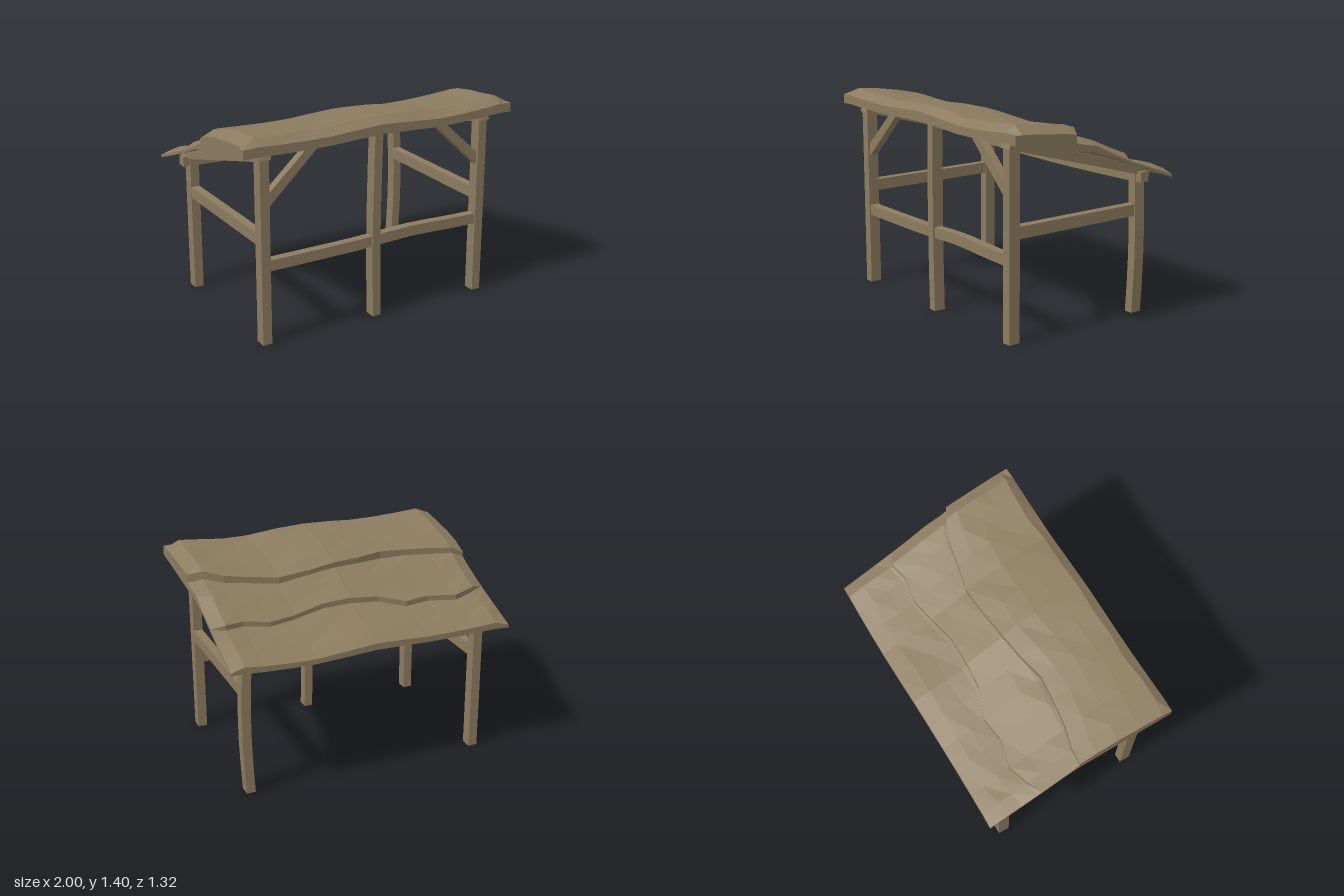
import * as THREE from 'three';

const wood = new THREE.MeshStandardMaterial({ color: 0x8c7b5f, flatShading: true });
wood.name = 'weathered wood';

// Piecewise linear lookup in a list of [position, value], positions rising
function lerpTable(table, p) {
  if (p <= table[0][0]) return table[0][1];
  for (let i = 1; i < table.length; i++) {
    const [a, va] = table[i - 1], [b, vb] = table[i];
    if (p <= b) return va + (vb - va) * (p - a) / (b - a);
  }
  return table[table.length - 1][1];
}

let seed = 7;
const jitter = (amount) => {
  seed = (seed * 16807) % 2147483647;
  return (seed / 2147483647 - 0.5) * 2 * amount;
};

function addMesh(group, name, geometry) {
  const mesh = new THREE.Mesh(geometry, wood);
  mesh.name = name;
  group.add(mesh);
  return mesh;
}

// Box timber given by its limits, optionally bent by a rule on its vertices
function timber(group, name, [x0, x1], [y0, y1], [z0, z1], bend, segs = [1, 1, 1]) {
  const g = new THREE.BoxGeometry(x1 - x0, y1 - y0, z1 - z0, ...segs);
  g.translate((x0 + x1) / 2, (y0 + y1) / 2, (z0 + z1) / 2);
  if (bend) {
    const p = g.attributes.position, v = new THREE.Vector3();
    for (let i = 0; i < p.count; i++) {
      bend(v.fromBufferAttribute(p, i));
      p.setXYZ(i, v.x, v.y, v.z);
    }
    g.computeVertexNormals();
  }
  return addMesh(group, name, g);
}

// Prism from an outline in the side plane (z, y), spanning x0..x1
function sidePrism(group, name, outline, x0, x1) {
  const shape = new THREE.Shape(outline.map(([z, y]) => new THREE.Vector2(-z, y)));
  const g = new THREE.ExtrudeGeometry(shape, { depth: x1 - x0, bevelEnabled: false });
  g.rotateY(Math.PI / 2).translate(x0, 0, 0);
  return addMesh(group, name, g);
}

// Roof columns, ragged seams and crest waviness
const columns = [-1, -0.9, -0.75, -0.55, -0.38, -0.2, 0, 0.2, 0.42, 0.6, 0.78, 0.91, 1];
const seamFront = [0, 0, 0.04, 0.07, 0.085, 0.045, 0.02, 0, -0.01, 0.03, 0.065, 0.12, 0.17];
const seamBack = [-0.275, -0.325, -0.365, -0.32, -0.34, -0.265, -0.25, -0.245, -0.285, -0.315, -0.285, -0.315, -0.275];
const wave = [0, 0.005, -0.004, -0.01, -0.01, 0, 0.008, -0.006, -0.022, -0.018, -0.008, 0.005, 0];
const underside = [[-0.66, 0.925], [-0.52, 0.975], [-0.28, 1.065], [-0.07, 1.155], [0.2, 1.205], [0.655, 1.29]];

// Warped roof board between front and back edge lines, with a top profile
function roofBoard(group, name, frontZ, backZ, profile, rows) {
  const top = [], bottom = [];
  columns.forEach((c, i) => {
    const end = i === 0 || i === columns.length - 1;
    top.push([]);
    bottom.push([]);
    rows.forEach((t, k) => {
      const edge = k === 0 || k === rows.length - 1;
      const z = frontZ[i] + (backZ[i] - frontZ[i]) * t + (edge || end ? 0 : jitter(0.015));
      const x = c * (0.975 + 0.025 * THREE.MathUtils.clamp(z / 0.65, 0, 1));
      const low = lerpTable(underside, z) + wave[i] * 0.7;
      let high = lerpTable(profile, z) + wave[i] + (edge ? 0 : jitter(0.005));
      if (end && k > 0) high -= 0.04;
      top[i].push([x, Math.max(high, low + 0.02), z]);
      bottom[i].push([x, low, z]);
    });
  });
  const pos = [];
  const quad = (a, b, c, d) => pos.push(...a, ...b, ...c, ...a, ...c, ...d);
  const n = columns.length - 1, m = rows.length - 1;
  for (let i = 0; i < n; i++) {
    for (let k = 0; k < m; k++) {
      quad(top[i][k], top[i + 1][k], top[i + 1][k + 1], top[i][k + 1]);
      quad(bottom[i][k + 1], bottom[i + 1][k + 1], bottom[i + 1][k], bottom[i][k]);
    }
    quad(bottom[i][0], bottom[i + 1][0], top[i + 1][0], top[i][0]);
    quad(bottom[i + 1][m], bottom[i][m], top[i][m], top[i + 1][m]);
  }
  for (let k = 0; k < m; k++) {
    quad(bottom[0][k + 1], bottom[0][k], top[0][k], top[0][k + 1]);
    quad(bottom[n][k], bottom[n][k + 1], top[n][k + 1], top[n][k]);
  }
  const g = new THREE.BufferGeometry();
  g.setAttribute('position', new THREE.Float32BufferAttribute(pos, 3));
  g.computeVertexNormals();
  return addMesh(group, name, g);
}

export function createModel() {
  const model = new THREE.Group();
  model.name = 'leanToShelter';

  // Posts
  const postSegs = [1, 5, 1];
  const frontPostZ = [0.51, 0.59], backPostZ = [-0.52, -0.44];
  timber(model, 'frontRightPost', [-0.857, -0.793], [0, 1.26], frontPostZ);
  timber(model, 'frontLeftPost', [0.793, 0.857], [0, 1.26], frontPostZ);
  timber(model, 'frontMiddlePost', [-0.03, 0.03], [0, 1.29], frontPostZ,
    (v) => { v.x -= 0.009 * Math.sin(v.y * 2.6); }, postSegs);
  timber(model, 'backRightPost', [-0.857, -0.793], [0, 0.96], backPostZ);
  timber(model, 'backLeftPost', [0.79, 0.852], [0, 0.96], backPostZ,
    (v) => { v.x += 0.018 * Math.sin(Math.PI * v.y / 0.96); }, postSegs);

  // Front rail with a gentle hump
  timber(model, 'frontRail', [-0.8, 0.8], [0.5, 0.573], [0.52, 0.58],
    (v) => { v.y += 0.016 * Math.exp(-(((v.x - 0.27) / 0.28) ** 2)); }, [12, 1, 1]);

  // Horizontal beams under the roof
  timber(model, 'frontBeam', [-0.9, 0.9], [1.27, 1.32], [0.515, 0.58]);
  timber(model, 'backBeam', [-0.9, 0.9], [0.903, 0.972], [-0.52, -0.45],
    (v) => { v.y -= 0.016 * Math.cos(v.x * Math.PI / 1.8); }, [8, 1, 1]);

  for (const [side, s] of [['Right', -1], ['Left', 1]]) {
    // Side rails and sloping rafters
    const mid = s * 0.825;
    timber(model, `side${side}Rail`, [mid - 0.03, mid + 0.03], [0.673, 0.752], [-0.445, 0.515]);
    sidePrism(model, `rafter${side}`,
      [[0.6, 1.243], [0.58, 1.31], [-0.57, 0.985], [-0.55, 0.927]], mid - 0.042, mid + 0.042);

    // Diagonal braces in the front frame
    const brace = new THREE.Shape([[0.79, 0.93], [0.79, 1.02], [0.51, 1.275], [0.425, 1.275]]
      .map(([x, y]) => new THREE.Vector2(s * x, y)));
    const g = new THREE.ExtrudeGeometry(brace, { depth: 0.055, bevelEnabled: false });
    addMesh(model, `brace${side}`, g.translate(0, 0, 0.522));
  }

  // Three overlapping roof boards, back to front
  const flat = (z) => columns.map(() => z);
  roofBoard(model, 'backRoofBoard', seamBack.map((z) => z + 0.1),
    columns.map((c) => -0.658 - 0.006 * Math.sin(c * 3)),
    [[-0.665, 0.965], [-0.52, 1.025], [-0.36, 1.06], [-0.2, 1.1]], [0, 0.25, 0.5, 0.75, 1]);
  roofBoard(model, 'middleRoofBoard', seamFront.map((z) => z + 0.1), seamBack,
    [[-0.37, 1.095], [-0.28, 1.12], [0, 1.25], [0.2, 1.29]], [0, 0.25, 0.5, 0.75, 1]);
  roofBoard(model, 'frontRoofBoard', flat(0.656), seamFront,
    [[0, 1.285], [0.17, 1.345], [0.4, 1.377], [0.59, 1.4], [0.656, 1.352]], [0, 0.11, 0.35, 0.6, 0.82, 1]);

  return model;
}
